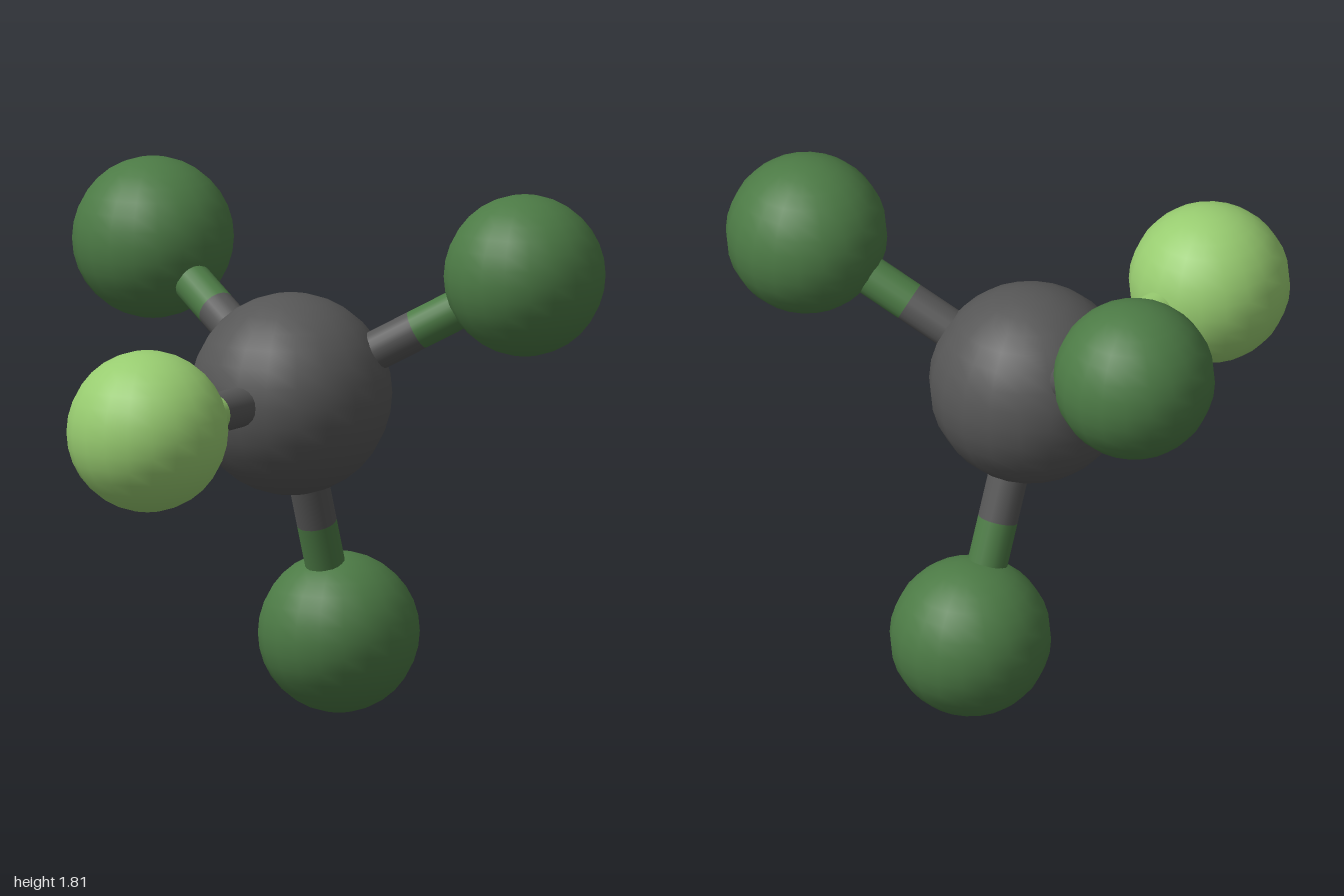
import * as THREE from 'three';

const BOND_LENGTH = 0.895;
const CORE_RADIUS = 0.338;
const OUTER_RADIUS = 0.27;
const BOND_RADIUS = 0.067;
const BOND_SPLIT = 0.483; // distance from the core where the bond changes colour

const makeMaterial = (color) => new THREE.MeshStandardMaterial({ color });

function makeBall(name, radius, material) {
  const ball = new THREE.Mesh(new THREE.SphereGeometry(radius, 20, 16), material);
  ball.name = name;
  return ball;
}

// Open tube along +y between two distances from the core; its ends are buried
function makeBond(name, from, to, material) {
  const geometry = new THREE.CylinderGeometry(BOND_RADIUS, BOND_RADIUS, to - from, 20, 1, true);
  geometry.translate(0, (from + to) / 2, 0);
  const bond = new THREE.Mesh(geometry, material);
  bond.name = name;
  return bond;
}

export function createModel() {
  const model = new THREE.Group();
  model.name = 'tetrahedralMolecule';

  const grey = makeMaterial(0x565656);
  const darkGreen = makeMaterial(0x4c7a45);
  const lightGreen = makeMaterial(0x98cc70);

  // Everything is placed around the central atom
  const molecule = new THREE.Group();
  molecule.name = 'molecule';
  molecule.position.set(0, 1.117, -0.298);
  model.add(molecule);
  molecule.add(makeBall('centralAtom', CORE_RADIUS, grey));

  // Tetrahedral directions: one forward, three spread evenly behind
  const arms = [{ name: 'front', direction: new THREE.Vector3(0, 0, 1), material: lightGreen }];
  const spread = Math.sqrt(8) / 3;
  ['lower', 'upperLeft', 'upperRight'].forEach((name, i) => {
    const angle = -Math.PI / 2 + (i * Math.PI * 2) / 3;
    const direction = new THREE.Vector3(Math.cos(angle) * spread, Math.sin(angle) * spread, -1 / 3);
    arms.push({ name, direction, material: darkGreen });
  });

  // Two-tone bond and outer atom for each arm
  const up = new THREE.Vector3(0, 1, 0);
  for (const { name, direction, material } of arms) {
    const bond = new THREE.Group();
    bond.name = name + 'Bond';
    bond.quaternion.setFromUnitVectors(up, direction);
    bond.add(makeBond(name + 'BondInner', CORE_RADIUS - 0.03, BOND_SPLIT, grey));
    bond.add(makeBond(name + 'BondOuter', BOND_SPLIT, BOND_LENGTH - OUTER_RADIUS + 0.03, material));

    const atom = makeBall(name + 'Atom', OUTER_RADIUS, material);
    atom.position.copy(direction).multiplyScalar(BOND_LENGTH);
    molecule.add(bond, atom);
  }

  return model;
}
